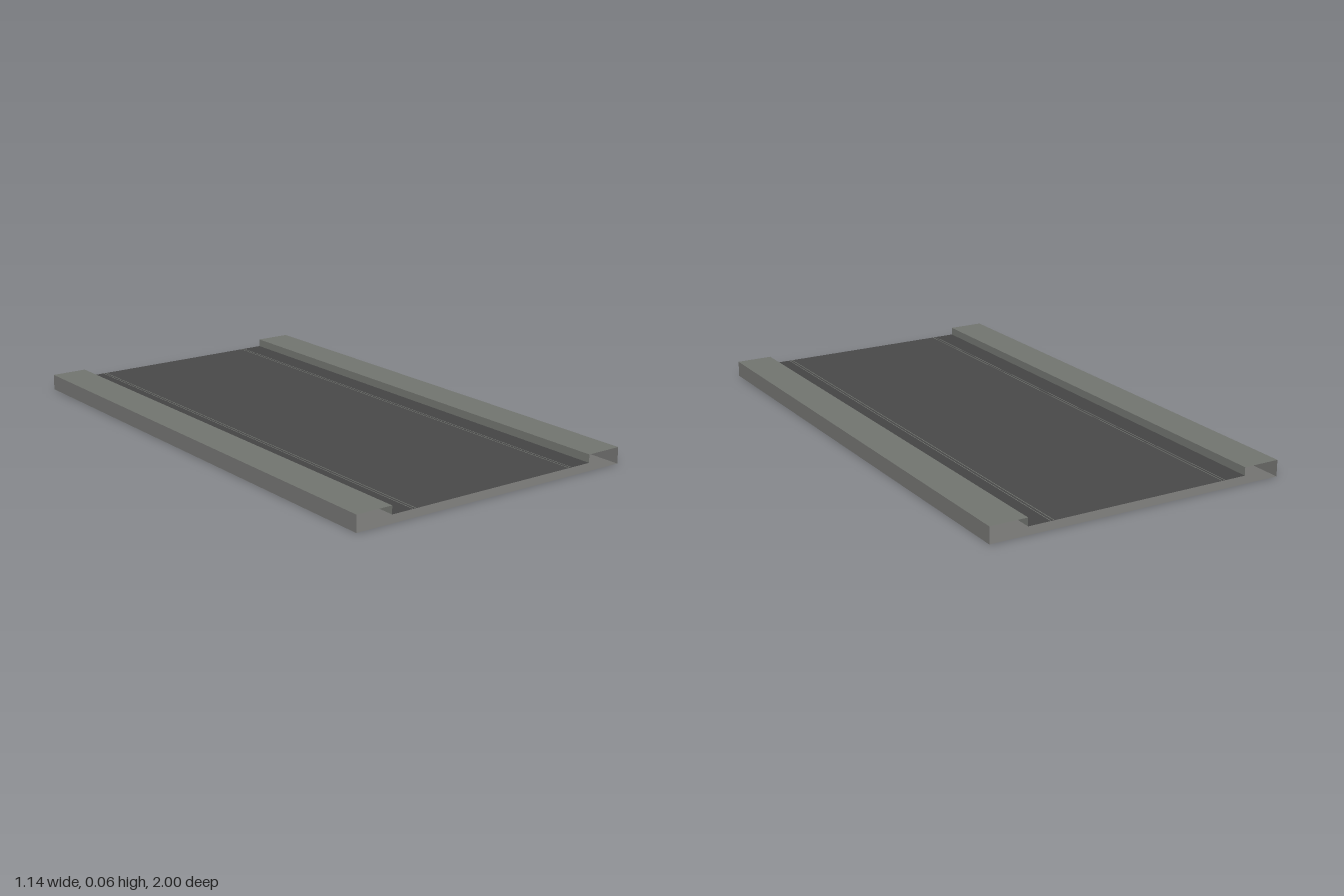
import * as THREE from 'three';

const LENGTH = 2, HALF = 0.57, CURB = 0.43, TOP = 0.06, ROAD = 0.03, LINE = 0.34;

const flat = (name, color) => {
  const m = new THREE.MeshStandardMaterial({ color, side: THREE.DoubleSide });
  m.name = name;
  return m;
};

export function createModel() {
  const model = new THREE.Group();
  model.name = 'roadSection';
  const paving = flat('paving grey', 0x737671);
  const concrete = flat('concrete grey', 0x757573);
  const asphalt = flat('asphalt', 0x4a4a4a);
  const gutterDark = flat('gutter asphalt', 0x454545);

  // Open-ended sheet running the full length
  const sheet = (name, material, width, x, y, upright = false) => {
    const geometry = new THREE.PlaneGeometry(width, LENGTH).rotateX(-Math.PI / 2);
    if (upright) geometry.rotateZ(x > 0 ? -Math.PI / 2 : Math.PI / 2);
    const mesh = new THREE.Mesh(geometry, material);
    mesh.name = name;
    mesh.position.set(x, y, 0);
    model.add(mesh);
    return mesh;
  };

  // Base and carriageway
  sheet('base', concrete, HALF * 2, 0, 0);
  sheet('carriageway', asphalt, LINE * 2, 0, ROAD);

  // Mirrored pavements, kerbs, gutters and edge lines
  for (const [side, s] of [['left', 1], ['right', -1]]) {
    sheet(side + 'OuterWall', concrete, TOP, s * HALF, TOP / 2, true);
    sheet(side + 'Pavement', paving, HALF - CURB, s * (HALF + CURB) / 2, TOP);
    // The kerb faces the carriageway
    sheet(side + 'Kerb', paving, TOP - ROAD, s * CURB, (TOP + ROAD) / 2, true).rotation.y = Math.PI;
    sheet(side + 'Gutter', gutterDark, CURB - LINE, s * (CURB + LINE) / 2, ROAD);
    for (const offset of [-0.006, 0.006])
      sheet(side + 'EdgeLine', paving, 0.003, s * LINE + offset, ROAD + 0.001);
  }
  return model;
}
